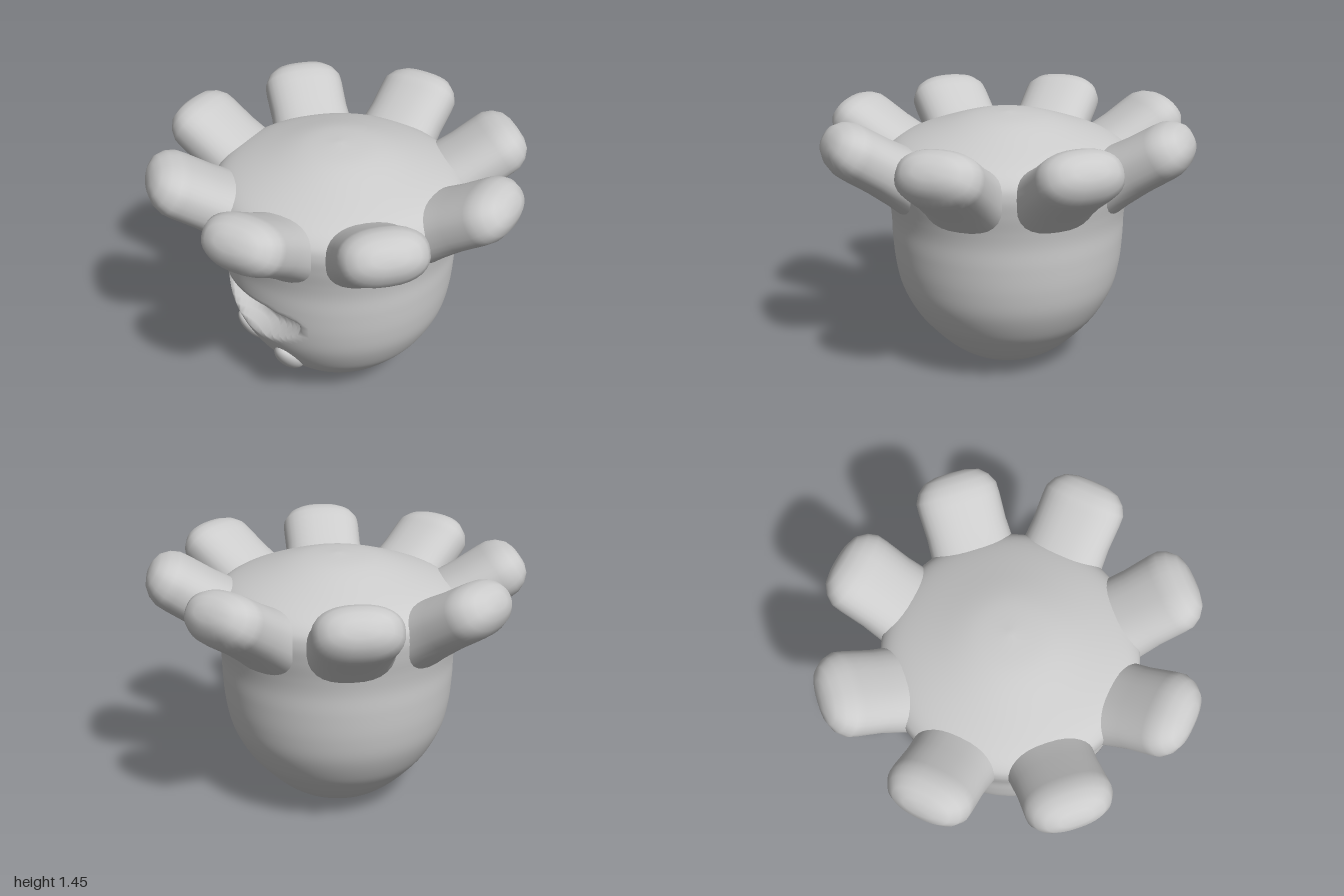
import * as THREE from 'three';
import { mergeVertices } from 'three/addons/utils/BufferGeometryUtils.js';

const grey = () => new THREE.MeshStandardMaterial({ color: 0xcccccc });

// Weld seams so the normals come out smooth all round
function smooth(geometry) {
  geometry.deleteAttribute('uv');
  geometry.deleteAttribute('normal');
  const welded = mergeVertices(geometry, 1e-4);
  welded.computeVertexNormals();
  return welded;
}

// Rounded bowl-shaped head closed by a shallow dome, with a mouth hollow on the -x side
function makeBody() {
  const profile = [
    [0, 0], [0.16, 0.02], [0.27, 0.065], [0.36, 0.13], [0.45, 0.22], [0.53, 0.32], [0.6, 0.46],
    [0.632, 0.6], [0.645, 0.75], [0.648, 0.87], [0.66, 0.96], [0.68, 1.06], [0.69, 1.15],
    [0.67, 1.22], [0.59, 1.285], [0.4, 1.36], [0.2, 1.42], [0, 1.44],
  ].map(([r, y]) => new THREE.Vector2(r, y));
  const points = new THREE.SplineCurve(profile).getPoints(110);
  points[0].x = points[points.length - 1].x = 0;
  const geometry = new THREE.LatheGeometry(points, 120);
  const p = geometry.attributes.position;
  for (let i = 0; i < p.count; i++) {
    const x = p.getX(i), y = p.getY(i), z = p.getZ(i);
    if (x > -0.4) continue;
    // Mouth outline: flat upper edge, lower edge rising to the corners
    const a = Math.atan2(z, -x) / 0.6;
    const low = 0.48 + 0.13 * a * a, high = 0.72 - 0.04 * a * a;
    const inside = Math.min(y - low, high - y, (1 - Math.abs(a)) * 0.35);
    const depth = THREE.MathUtils.smoothstep(inside, -0.015, 0.045);
    p.setX(i, THREE.MathUtils.lerp(x, Math.max(x, -0.485), depth));
  }
  const body = new THREE.Mesh(smooth(geometry), grey());
  body.name = 'body';
  return body;
}

// Stubby flattened arm along +z, rising outward, lofted from oval rings
function makeArmGeometry() {
  // Each ring: distance along the arm, half width, half thickness
  const rings = [
    [-0.62, 0.27, 0.2], [-0.46, 0.25, 0.18], [-0.34, 0.232, 0.162], [-0.2, 0.224, 0.15],
    [-0.05, 0.228, 0.147], [0.0, 0.226, 0.143], [0.05, 0.2, 0.122], [0.09, 0.155, 0.085],
    [0.108, 0.09, 0.045], [0.112, 0, 0],
  ];
  const sides = 32, positions = [], index = [];
  const tilt = 0.57, c = Math.cos(tilt), s = Math.sin(tilt);
  const power = (v) => Math.sign(v) * Math.abs(v) ** 0.85;
  rings.forEach(([d, w, h], k) => {
    for (let j = 0; j < sides; j++) {
      const t = (j / sides) * Math.PI * 2;
      const u = w * power(Math.cos(t)), v = h * power(Math.sin(t));
      positions.push(u, 1.325 + d * s + v * c, 0.915 + d * c - v * s);
      if (k === rings.length - 1) continue;
      const n = (j + 1) % sides, a = k * sides + j, b = k * sides + n;
      index.push(a, b, b + sides, a, b + sides, a + sides);
    }
  });
  const geometry = new THREE.BufferGeometry();
  geometry.setAttribute('position', new THREE.Float32BufferAttribute(positions, 3));
  geometry.setIndex(index);
  const welded = mergeVertices(geometry, 1e-4);
  welded.computeVertexNormals();
  return welded;
}

export function createModel() {
  const model = new THREE.Group();
  model.name = 'upturnedOctopus';
  model.add(makeBody());

  // Eight arms spread evenly around the rim
  const armGeometry = makeArmGeometry();
  for (let i = 0; i < 8; i++) {
    const arm = new THREE.Mesh(armGeometry, grey());
    arm.name = `arm${i + 1}`;
    arm.rotation.y = ((i + 0.5) * Math.PI) / 4;
    model.add(arm);
  }

  // Two oval eyes lying on the curve of the head, below the mouth
  for (const side of [-1, 1]) {
    const pivot = new THREE.Group();
    pivot.name = side < 0 ? 'rearEye' : 'frontEye';
    pivot.rotation.y = side * 0.36;
    const eye = new THREE.Mesh(new THREE.SphereGeometry(1, 24, 16), grey());
    eye.name = 'eyeball';
    eye.scale.set(0.055, 0.125, 0.08);
    eye.position.set(-0.51, 0.31, 0);
    eye.rotation.z = 0.66;
    pivot.add(eye);
    model.add(pivot);
  }
  return model;
}
